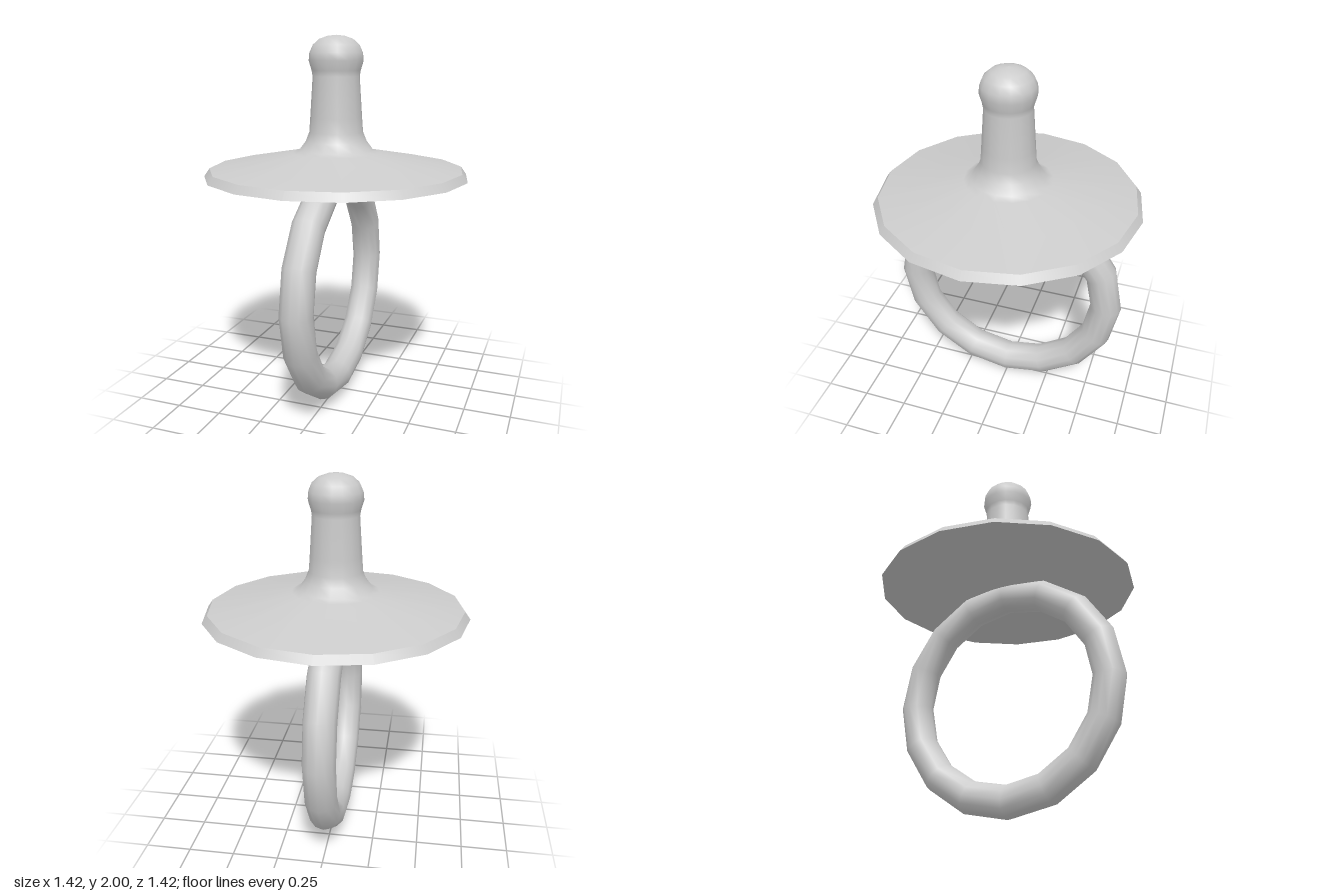
import * as THREE from 'three';

const SIDES = 16;

export function createModel() {
  const group = new THREE.Group();
  const material = new THREE.MeshStandardMaterial({ color: 0xcccccc });

  const add = (name, geometry) => {
    const mesh = new THREE.Mesh(geometry, material);
    mesh.name = name;
    group.add(mesh);
    return mesh;
  };
  // Profile points are [radius, height], from bottom to top
  const lathe = (profile) =>
    new THREE.LatheGeometry(profile.map(([r, y]) => new THREE.Vector2(r, y)), SIDES);

  // Shield: flat underside and bevelled rim, kept separate for sharp edges
  add('shieldUnderside', lathe([[0, 1.265], [0.712, 1.265]]));
  add('shieldRim', lathe([[0.712, 1.265], [0.683, 1.306]]));

  // Sloping shield top that flows smoothly into the stem and the rounded tip
  add('shieldTopAndNipple', lathe([
    [0.683, 1.306], [0.235, 1.39], [0.198, 1.405], [0.164, 1.45], [0.144, 1.5],
    [0.138, 1.58], [0.124, 1.79], [0.129, 1.82], [0.144, 1.87], [0.14, 1.91],
    [0.122, 1.95], [0.088, 1.98], [0.045, 1.995], [0, 2],
  ]));

  // Pull ring standing in the side plane, its top sunk into the shield
  const ring = add('pullRing', new THREE.TorusGeometry(0.574, 0.0865, 12, SIDES));
  ring.rotation.y = Math.PI / 2;
  ring.position.y = 0.6605;

  return group;
}
